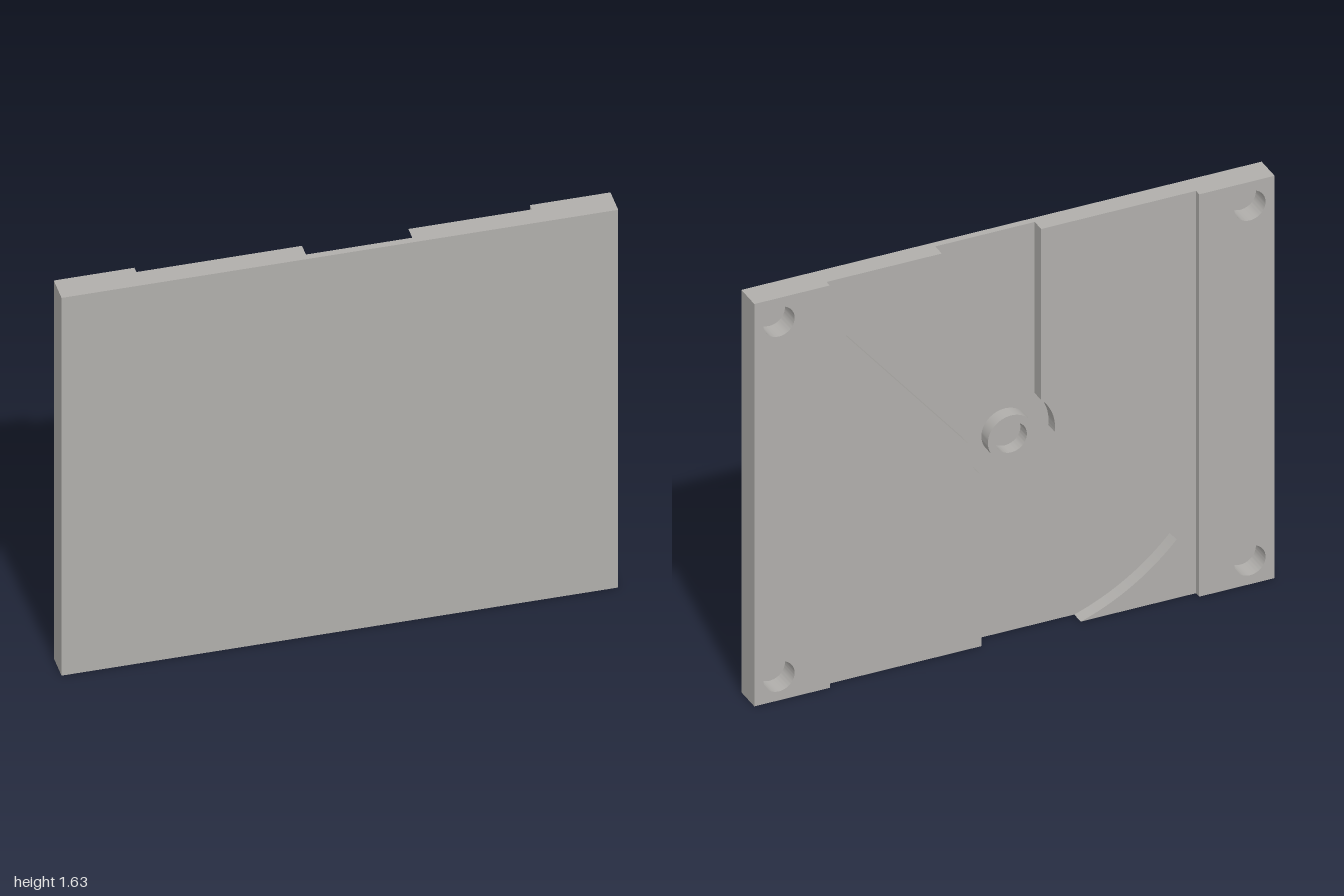
import * as THREE from 'three';
import { toCreasedNormals } from 'three/addons/utils/BufferGeometryUtils.js';

const W = 2, H = 1.635, HALF = H / 2;
const FRONT = 0.0525, FLOOR = 0.026, PANEL = -0.0265, BACK = -0.0525; // z levels
const STRIP_X = 0.71;      // inner edge of the raised side strips
const SWING = 40 * Math.PI / 180; // swing of the bow-tie pocket
const ARM = 0.115;         // half width of the swinging arm
const REACH = 0.86;        // outer radius of the pocket
const HUB = 0.168;         // clearance radius around the hub

export function createModel() {
  const model = new THREE.Group();
  model.name = 'mountingPlate';
  const grey = new THREE.MeshStandardMaterial({ color: 0xb0aeab });
  grey.name = 'grey';

  const body = new THREE.Group(); // centred on the hub
  body.name = 'plateBody';
  body.position.y = HALF;
  model.add(body);

  const add = (name, geometry) => {
    const mesh = new THREE.Mesh(geometry, grey);
    mesh.name = name;
    body.add(mesh);
    return mesh;
  };
  // Extrudes a shape from one z level to another, keeping edges sharp
  const slab = (shape, from, to) => {
    const g = new THREE.ExtrudeGeometry(shape, { depth: to - from, bevelEnabled: false, curveSegments: 32 });
    g.translate(0, 0, from);
    return toCreasedNormals(g, 0.5);
  };
  const circle = (Type, x, y, r) => new Type().absarc(x, y, r, 0, Math.PI * 2, false);

  // Solid front sheet
  const sheet = new THREE.BoxGeometry(W, H, FRONT - FLOOR);
  sheet.translate(0, 0, (FRONT + FLOOR) / 2);
  add('frontSheet', sheet);

  // Raised side strip with two blind bolt holes
  const strip = new THREE.Shape([
    new THREE.Vector2(STRIP_X, -HALF), new THREE.Vector2(W / 2, -HALF),
    new THREE.Vector2(W / 2, HALF), new THREE.Vector2(STRIP_X, HALF),
  ]);
  for (const s of [-1, 1]) strip.holes.push(circle(THREE.Path, 0.905, s * 0.721, 0.06));
  const stripGeometry = slab(strip, BACK, FLOOR);

  // Panel beside the pocket: vertical wall, hub clearance, slanted wall, outer arc
  const dir = Math.PI / 2 - SWING;
  const outerAngle = dir - Math.asin(ARM / REACH);
  const topAngle = Math.asin(HALF / REACH);
  const hubOffset = Math.asin(ARM / HUB);
  const panel = new THREE.Shape();
  panel.moveTo(ARM, -HALF);
  panel.lineTo(STRIP_X, -HALF);
  panel.lineTo(STRIP_X, HALF);
  panel.lineTo(REACH * Math.cos(topAngle), HALF);
  panel.absarc(0, 0, REACH, topAngle, outerAngle, true);
  panel.absarc(0, 0, HUB, dir - hubOffset, hubOffset - Math.PI / 2, true);
  panel.closePath();
  const panelGeometry = slab(panel, PANEL, FLOOR);

  // Both halves match under a half turn
  ['left', 'right'].forEach((side, i) => {
    add(side + 'Strip', stripGeometry).rotation.z = i * Math.PI;
    add(side + 'Panel', panelGeometry).rotation.z = i * Math.PI;
  });

  // Pivot ring in the middle of the pocket
  const ring = circle(THREE.Shape, 0, 0, 0.09);
  ring.holes.push(circle(THREE.Path, 0, 0, 0.06));
  add('pivotRing', slab(ring, PANEL, FLOOR));

  return model;
}
